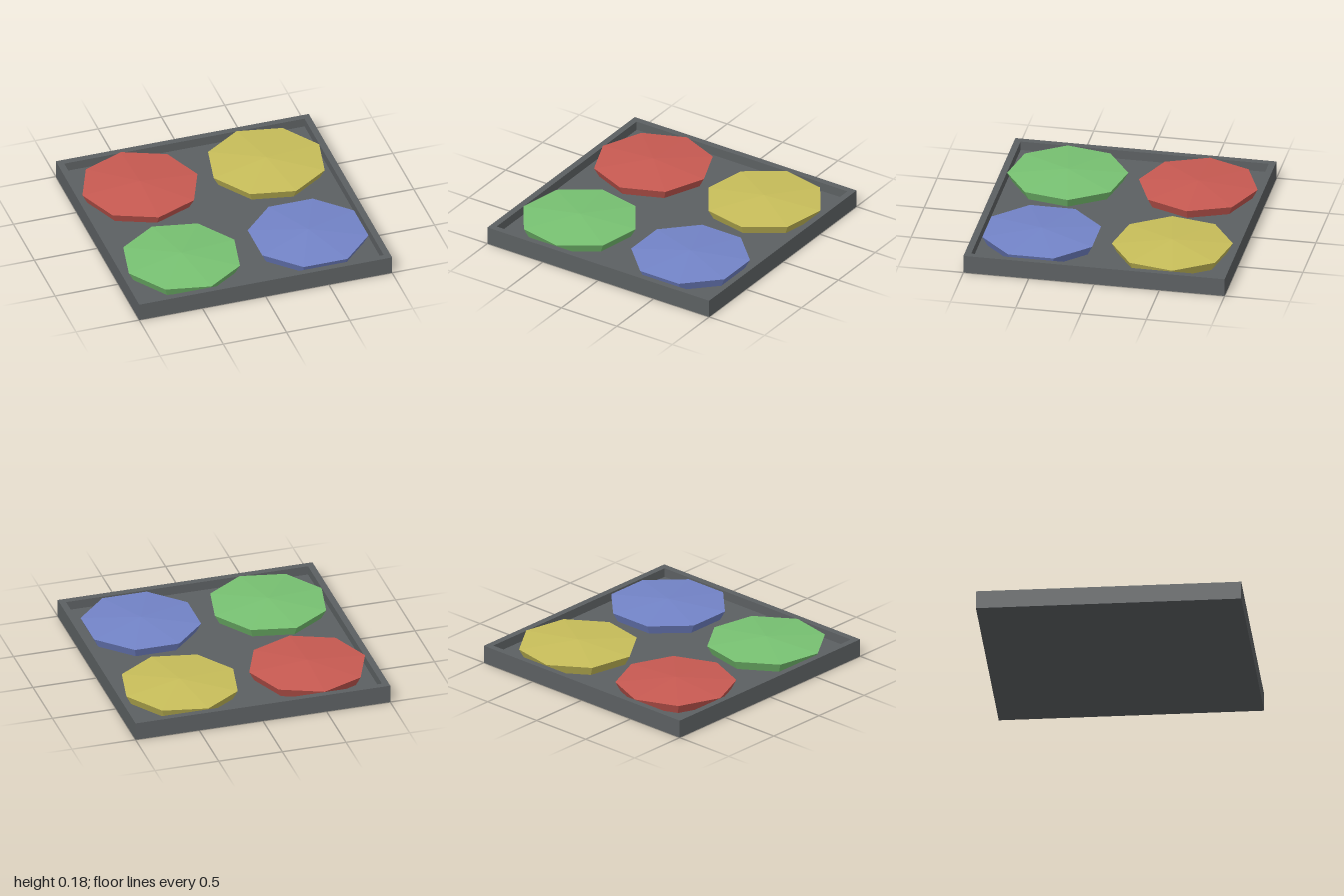
import * as THREE from 'three';

const SIZE = 2, HEIGHT = 0.14, RIM = 0.05, FLOOR = 0.07;
const EDGE = 0.145, APEX = 0.18, TOP_R = 0.455, BASE_R = 0.415;

function material(name, color) {
  const m = new THREE.MeshStandardMaterial({ color });
  m.name = name;
  return m;
}

function square(PathType, h) {
  return new PathType([[-h, -h], [h, -h], [h, h], [-h, h]].map(([x, y]) => new THREE.Vector2(x, y)));
}

// Eight-sided button: tapered wall under a shallow pointed cap
function makeButton(name, mat, x, z, turn) {
  const button = new THREE.Group();
  button.name = name;
  const flat = (g) => {
    const f = g.toNonIndexed();
    f.computeVertexNormals();
    return f;
  };

  const wall = new THREE.Mesh(flat(new THREE.CylinderGeometry(TOP_R, BASE_R, EDGE - FLOOR, 8, 1, true)), mat);
  wall.name = name + 'Wall';
  wall.position.y = (EDGE + FLOOR) / 2;

  const cap = new THREE.Mesh(flat(new THREE.ConeGeometry(TOP_R, APEX - EDGE, 8, 1, true)), mat);
  cap.name = name + 'Cap';
  cap.position.y = (APEX + EDGE) / 2;

  button.add(wall, cap);
  button.position.set(x, 0, z);
  button.rotation.y = turn;
  return button;
}

export function createModel() {
  const model = new THREE.Group();
  model.name = 'buttonTray';
  const grey = material('tray grey', 0x5c6062);

  // Square rim around the recess
  const outline = square(THREE.Shape, SIZE / 2);
  outline.holes.push(square(THREE.Path, SIZE / 2 - RIM));
  const rimGeo = new THREE.ExtrudeGeometry(outline, { depth: HEIGHT, bevelEnabled: false });
  rimGeo.rotateX(-Math.PI / 2);
  const rim = new THREE.Mesh(rimGeo, grey);
  rim.name = 'trayRim';

  // Recessed floor
  const inner = SIZE - 2 * RIM;
  const floor = new THREE.Mesh(new THREE.BoxGeometry(inner, FLOOR, inner), grey);
  floor.name = 'trayFloor';
  floor.position.y = FLOOR / 2;
  model.add(rim, floor);

  // Four buttons, each turned by a different fraction of a side
  const step = Math.PI / 16;
  [
    ['redButton', 0xc85a52, -0.5, -0.5, 0],
    ['yellowButton', 0xc8be5a, 0.5, -0.5, step],
    ['greenButton', 0x78c272, -0.5, 0.5, step],
    ['blueButton', 0x7384c8, 0.5, 0.5, 2 * step],
  ].forEach(([name, color, x, z, turn]) => {
    model.add(makeButton(name, material(name.replace('Button', ''), color), x, z, turn));
  });
  return model;
}
